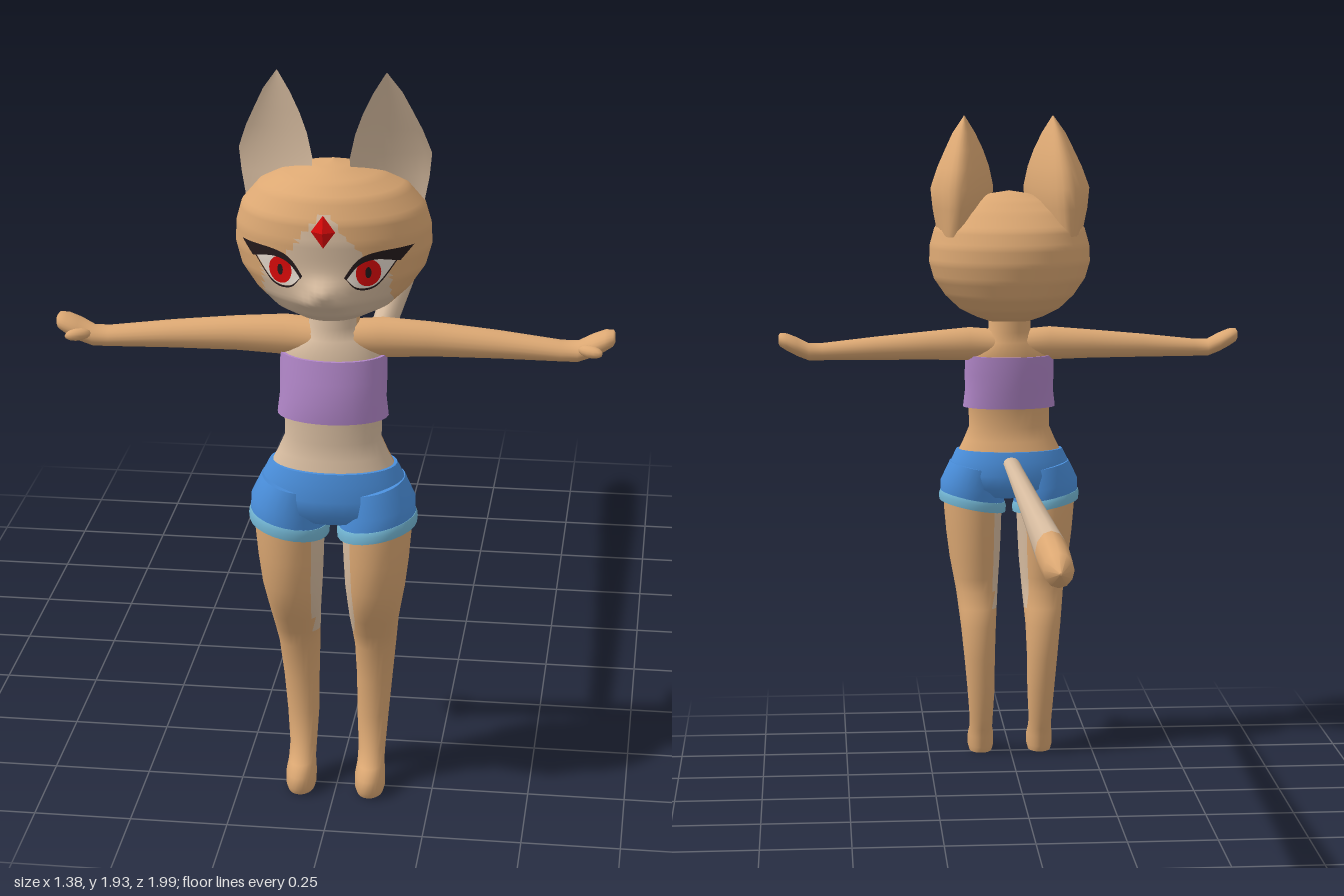
import * as THREE from 'three';

const mat = (name, color) => {
  const m = new THREE.MeshStandardMaterial({ color });
  m.name = name;
  return m;
};
const FUR = mat('orange fur', 0xdca873), CREAM = mat('cream fur', 0xd6bb9f);
const PURPLE = mat('purple cloth', 0xb186c8), BLUE = mat('blue denim', 0x4a8fdc), CUFF = mat('light blue cuff', 0x74b8d6);
const RED = mat('red', 0xdc0a0a), DARK = mat('dark lash', 0x241a1c), WHITE = mat('eye white', 0xeee2d6);

const lerp = THREE.MathUtils.lerp;

// Surface from fn(row, column); pick(centroid) chooses a material index; faces point away from ref
function surface(name, nu, nv, closed, fn, mats, pick = () => 0, ref = null) {
  const pts = [], cols = closed ? nv : nv + 1;
  for (let i = 0; i <= nu; i++) for (let j = 0; j < cols; j++) pts.push(fn(i, j));
  const centre = ref || pts.reduce((a, p) => a.add(p), new THREE.Vector3()).divideScalar(pts.length);
  const lists = mats.map(() => []);
  let sum = 0;
  const add = (a, b, c) => {
    const [A, B, C] = [pts[a], pts[b], pts[c]];
    const mid = A.clone().add(B).add(C).divideScalar(3);
    const n = B.clone().sub(A).cross(C.clone().sub(A));
    if (n.lengthSq() < 1e-16) return;
    sum += n.dot(mid.clone().sub(centre));
    lists[pick(mid)].push([a, b, c]);
  };
  for (let i = 0; i < nu; i++) for (let j = 0; j < nv; j++) {
    const k = (j + 1) % cols;
    const a = i * cols + j, b = i * cols + k, c = a + cols, d = b + cols;
    add(a, b, d);
    add(a, d, c);
  }
  const g = new THREE.BufferGeometry().setFromPoints(pts), index = [];
  lists.forEach((l, m) => {
    g.addGroup(index.length, l.length * 3, m);
    l.forEach(([a, b, c]) => index.push(...(sum < 0 ? [a, c, b] : [a, b, c])));
  });
  g.setIndex(index);
  g.computeVertexNormals();
  const mesh = new THREE.Mesh(g, mats.length > 1 ? mats : mats[0]);
  mesh.name = name;
  return mesh;
}

// Loft of elliptical rings [s, c0, c1, r0, r1] along an axis, with capped ends
function loft(name, axis, rings, mats, pick, seg = 20, tilt = 0) {
  const cap = r => [r[0], r[1], r[2], 0, 0];
  const first = rings[0], last = rings[rings.length - 1];
  const rows = [cap(first), first, ...rings, last, cap(last)];
  return surface(name, rows.length - 1, seg, true, (i, j) => {
    const [s, c0, c1, r0, r1] = rows[i], a = j / seg * Math.PI * 2;
    const p = c0 + r0 * Math.cos(a), q = c1 + r1 * Math.sin(a);
    if (axis === 'x') return new THREE.Vector3(s, p, q);
    if (axis === 'z') return new THREE.Vector3(p, q, s);
    return new THREE.Vector3(p, s + tilt * (p - c0), q);
  }, mats, pick);
}

// Head profile: [y, half width, front z, back z]
const HEAD = [
  [1.31, 0, .77, .77], [1.318, .05, .83, .72], [1.335, .1, .885, .675], [1.36, .15, .92, .63], [1.4, .192, .94, .592],
  [1.45, .226, .948, .57], [1.5, .24, .95, .56], [1.55, .238, .953, .563], [1.6, .224, .948, .585],
  [1.65, .182, .922, .64], [1.68, .125, .885, .685], [1.7, .06, .83, .73], [1.71, 0, .77, .77]];
function headRing(y) {
  let i = 0;
  while (i < HEAD.length - 2 && HEAD[i + 1][0] < y) i++;
  const t = (y - HEAD[i][0]) / (HEAD[i + 1][0] - HEAD[i][0]);
  return HEAD[i].map((v, k) => lerp(v, HEAD[i + 1][k], t));
}
// Muzzle bulge, made of a broad mound, two lip lobes and a nose
function muzzle(x, y) {
  const bump = (cx, cy, w, h, d) => d * Math.exp(-(((x - cx) / w) ** 2) - ((y - cy) / h) ** 2);
  return bump(0, 1.41, .075, .045, .025) + bump(.03, 1.405, .026, .02, .012) + bump(-.03, 1.405, .026, .02, .012) + bump(0, 1.435, .028, .02, .022);
}
function headZ(x, y) {
  const [, w, zf, zb] = headRing(y), zc = Math.min(.76, (zf + zb) / 2);
  return zc + (zf - zc) * Math.sqrt(Math.max(0, 1 - (x / w) ** 2)) + muzzle(x, y);
}

function makeHead() {
  const nu = 12 * 5, nv = 80;
  return surface('head', nu, nv, true, (i, j) => {
    const k = Math.min(11, Math.floor(i / 5)), y = lerp(HEAD[k][0], HEAD[k + 1][0], i / 5 - k);
    const [, w, zf, zb] = headRing(y), zc = Math.min(.76, (zf + zb) / 2);
    const a = j / nv * Math.PI * 2, x = w * Math.cos(a), s = Math.sin(a);
    return new THREE.Vector3(x, y, s > 0 ? zc + (zf - zc) * s + muzzle(x, y) : zc + (zc - zb) * s);
  }, [FUR, CREAM], p => {
    const w = p.y < 1.47 ? .155 : p.y < 1.51 ? .11 : lerp(.1, .02, (p.y - 1.51) / .1);
    return p.z > .82 && p.y < 1.62 && Math.abs(p.x) < w ? 1 : 0;
  });
}

// Thin painted patch on the face between two curves of [x, y] points
const FACE = new THREE.Vector3(0, 1.48, .7);
function patch(name, side, top, bottom, lift, m) {
  const curve = pts => new THREE.SplineCurve(pts.map(([x, y]) => new THREE.Vector2(x, y)));
  const a = curve(top), b = curve(bottom);
  return surface(name, 20, 6, false, (i, j) => {
    const p = a.getPoint(i / 20).lerp(b.getPoint(i / 20), j / 6);
    return new THREE.Vector3(side * p.x, p.y, headZ(p.x, p.y) + lift);
  }, [m], undefined, FACE.clone().setX(side * .1));
}
const arc = (cx, cy, rx, ry, s) => Array.from({ length: 9 }, (_, i) => {
  const a = Math.PI * i / 8;
  return [cx - rx * Math.cos(a), cy + s * ry * Math.sin(a)];
});

function makeEye(side) {
  const g = new THREE.Group();
  g.name = 'eye';
  const upper = [[.055, 1.467], [.085, 1.503], [.125, 1.517], [.172, 1.508]];
  const lower = [[.055, 1.467], [.082, 1.443], [.125, 1.448], [.172, 1.508]];
  const shift = (pts, d) => pts.map(([x, y], i) => [x, y + (i === 0 ? d / 3 : d)]);
  g.add(patch('eyeWhite', side, upper, lower, .004, WHITE));
  g.add(patch('iris', side, arc(.106, 1.479, .029, .034, 1), arc(.106, 1.479, .029, .034, -1), .006, RED));
  g.add(patch('pupil', side, arc(.106, 1.48, .007, .014, 1), arc(.106, 1.48, .007, .014, -1), .008, DARK));
  g.add(patch('upperLash', side, [[.05, 1.47], [.083, 1.514], [.13, 1.531], [.208, 1.532]], [[.055, 1.464], [.085, 1.5], [.125, 1.512], [.178, 1.5]], .008, DARK));
  g.add(patch('lowerLash', side, lower, shift(lower, -.005), .007, DARK));
  return g;
}

// Ear rows: [y, outer x, outer z, inner x, inner z, back x, back z]
const EAR = [[1.58, .215, .74, .07, .8, .16, .64], [1.66, .23, .73, .05, .805, .152, .632], [1.72, .236, .73, .045, .806, .15, .637],
  [1.78, .215, .745, .058, .803, .146, .664], [1.83, .192, .758, .076, .8, .142, .697], [1.88, .168, .771, .1, .795, .138, .738], [1.93, .133, .786, .131, .787, .132, .786]];
function makeEar(side) {
  const g = new THREE.Group();
  g.name = 'ear';
  const shell = (name, depth, m, ref) => surface(name, EAR.length - 1, 10, false, (i, j) => {
    const [y, xo, zo, xi, zi, xb, zb] = EAR[i], t = j / 10, k = 4 * t * (1 - t) * depth;
    return new THREE.Vector3(side * (lerp(xo, xi, t) + k * (xb - (xo + xi) / 2)), y, lerp(zo, zi, t) + k * (zb - (zo + zi) / 2));
  }, [m], undefined, ref);
  g.add(shell('earBack', 1, FUR, new THREE.Vector3(side * .14, 1.75, .9)));
  g.add(shell('earInside', .12, CREAM, new THREE.Vector3(side * .14, 1.75, .5)));
  return g;
}

function makeArm(side) {
  const g = new THREE.Group();
  g.name = 'arm';
  const dz = x => -side * .014 * x / .6;
  const rings = [[.03, 1.25, .765, .045, .055], [.12, 1.253, .762, .05, .05], [.24, 1.25, .756, .043, .044], [.4, 1.243, .758, .035, .038],
    [.56, 1.234, .764, .026, .033], [.6, 1.234, .764, .026, .034], [.635, 1.25, .764, .028, .041], [.665, 1.264, .764, .026, .039], [.685, 1.271, .764, .02, .03], [.69, 1.272, .764, .012, .018]];
  g.add(loft('armAndHand', 'x', rings.map(([x, y, z, a, b]) => [side * x, y, z + dz(x), a, b]), [FUR]));
  const thumb = new THREE.Mesh(new THREE.SphereGeometry(1, 12, 8), FUR);
  thumb.name = 'thumb';
  thumb.scale.set(.034, .015, .017);
  thumb.position.set(side * .632, 1.248, .804 + dz(.63));
  thumb.rotation.y = -side * .5;
  g.add(thumb);
  return g;
}

function makeLeg(side) {
  const rings = [[.82, .11, .795, .088, .09], [.76, .11, .795, .088, .092], [.68, .108, .793, .083, .09], [.6, .105, .79, .076, .084],
    [.54, .102, .78, .068, .069], [.5, .1, .77, .063, .057], [.45, .099, .746, .058, .051], [.4, .098, .724, .053, .049], [.3, .095, .714, .046, .042],
    [.2, .091, .717, .041, .038], [.11, .09, .73, .035, .036], [.075, .09, .756, .035, .053], [.05, .09, .773, .039, .061], [.018, .09, .775, .039, .059], [0, .09, .774, .034, .05]];
  return loft('leg', 'y', rings.map(([y, x, z, a, b]) => [y, side * x, z, a, b]), [FUR, CREAM],
    p => p.y > .45 && Math.abs(p.x) < .052 ? 1 : 0, 24);
}

export function createModel() {
  const model = new THREE.Group();
  model.name = 'catFigure';

  // Torso and neck, cream at the front
  model.add(loft('torso', 'y', [[1.37, 0, .762, .06, .058], [1.29, 0, .764, .064, .06], [1.26, 0, .766, .085, .066], [1.215, 0, .772, .128, .083],
    [1.06, 0, .789, .122, .077], [1, 0, .789, .121, .072], [.96, 0, .788, .138, .082], [.92, 0, .786, .158, .095]], [FUR, CREAM], p => p.z > .785 ? 1 : 0, 32));
  model.add(loft('cropTop', 'y', [[1.218, 0, .772, .133, .089], [1.16, 0, .779, .134, .092], [1.11, 0, .787, .133, .092], [1.06, 0, .79, .139, .087]], [PURPLE], undefined, 28));

  // Shorts
  model.add(loft('shortsHips', 'y', [[.932, 0, .787, .16, .1], [.9, 0, .786, .176, .108], [.86, 0, .786, .191, .112], [.82, 0, .788, .197, .108], [.79, 0, .79, .13, .08]], [BLUE], undefined, 32));
  for (const side of [1, -1]) {
    const cx = side * .111;
    model.add(loft('shortsLeg', 'y', [[.88, side * .1, .788, .08, .1], [.82, cx, .792, .096, .107], [.78, cx, .795, .097, .103]], [BLUE], undefined, 24, side * .2));
    model.add(loft('shortsCuff', 'y', [[.787, cx, .795, .098, .104], [.775, cx, .795, .102, .108], [.757, cx, .795, .1, .106]], [CUFF], undefined, 24, side * .2));
    model.add(makeLeg(side), makeArm(side), makeEar(side), makeEye(side));
  }

  // Head and forehead gem
  model.add(makeHead());
  const gem = new THREE.Mesh(new THREE.OctahedronGeometry(1), RED);
  gem.name = 'foreheadGem';
  gem.scale.set(.029, .041, .016);
  gem.position.set(0, 1.582, .953);
  model.add(gem);

  // Long tail with an orange end
  model.add(loft('tail', 'z', [[.72, 0, .9, .024, .018], [.5, 0, .9, .026, .021], [0, 0, .9, .031, .034], [-.4, 0, .9, .036, .046], [-.73, 0, .9, .041, .055]], [CREAM], undefined, 12));
  model.add(loft('tailEnd', 'z', [[-.73, 0, .9, .041, .055], [-.85, 0, .898, .041, .052], [-.95, 0, .897, .038, .044], [-1, 0, .897, .003, .003]], [FUR], undefined, 12));
  return model;
}
